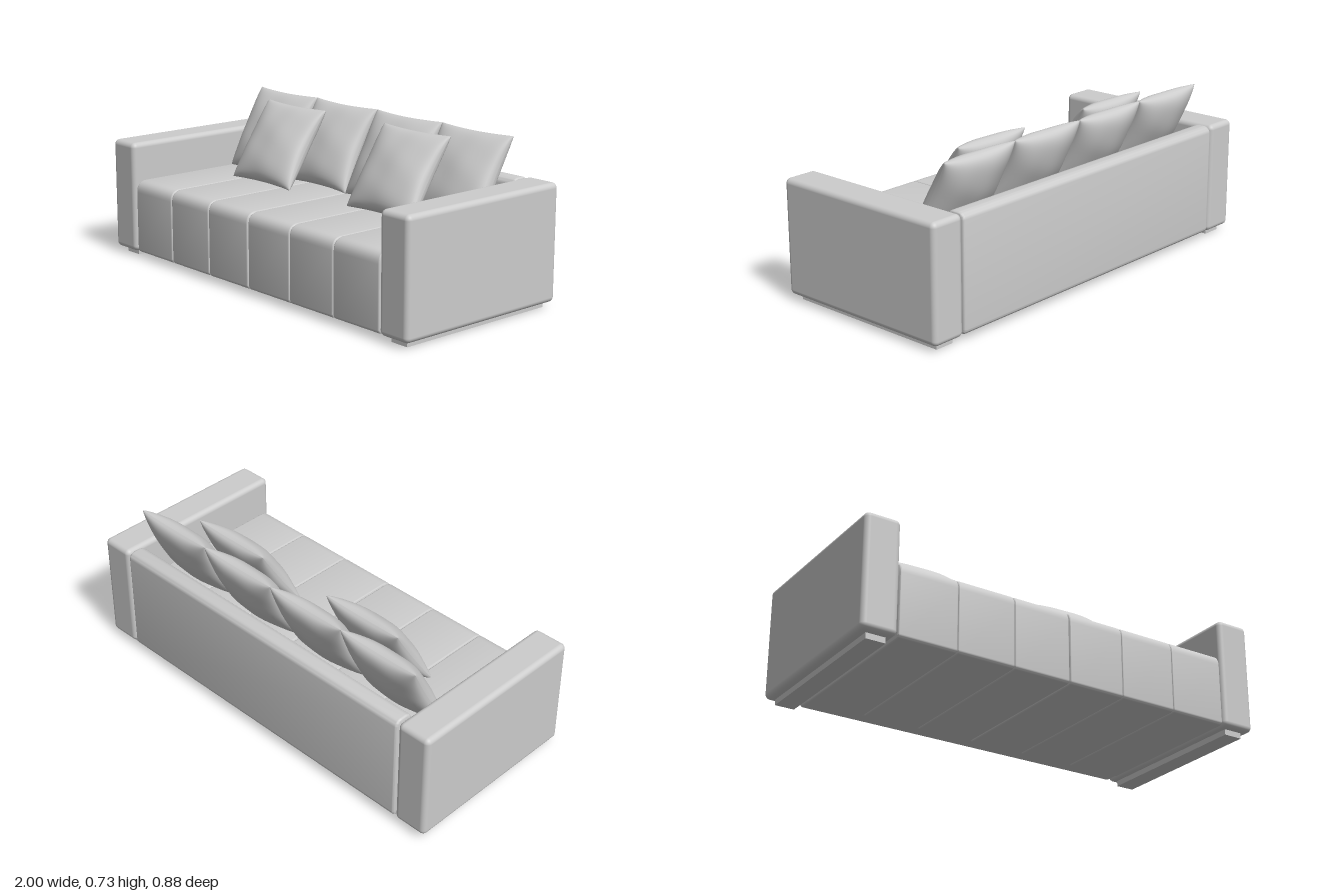
import * as THREE from 'three';
import { RoundedBoxGeometry } from 'three/addons/geometries/RoundedBoxGeometry.js';
import { mergeGeometries, toCreasedNormals } from 'three/addons/utils/BufferGeometryUtils.js';

export function createModel() {
  const sofa = new THREE.Group();
  sofa.name = 'sofa';
  const fabric = new THREE.MeshStandardMaterial({ color: 0xcccccc });
  fabric.name = 'light grey fabric';

  const add = (name, geometry, x, y, z) => {
    const mesh = new THREE.Mesh(geometry, fabric);
    mesh.name = name;
    mesh.position.set(x, y, z);
    sofa.add(mesh);
    return mesh;
  };

  // Rounded side profile in (z, y), extruded along x with a small bevel
  function upholstered(width, z0, z1, y0, y1, rFront, rBack, bevel) {
    const b = bevel, s = new THREE.Shape();
    const [l, r, d, t] = [z0 + b, z1 - b, y0 + b, y1 - b];
    const low = 0.012;
    s.moveTo(l + low, d);
    s.lineTo(r - low, d);
    s.quadraticCurveTo(r, d, r, d + low);
    s.lineTo(r, t - rFront);
    s.quadraticCurveTo(r, t, r - rFront, t);
    s.lineTo(l + rBack, t);
    s.quadraticCurveTo(l, t, l, t - rBack);
    s.lineTo(l, d + low);
    s.quadraticCurveTo(l, d, l + low, d);
    const g = new THREE.ExtrudeGeometry(s, {
      depth: width - 2 * b, bevelThickness: b, bevelSize: b, bevelSegments: 4, curveSegments: 8,
    });
    g.translate(0, 0, -(width - 2 * b) / 2).rotateY(-Math.PI / 2);
    return toCreasedNormals(g, 0.7);
  }

  // Plump square pillow: two mirrored domes with drawn-in edges and soft creases
  function pillowGeometry(size, thickness) {
    const half = new THREE.PlaneGeometry(2, 2, 28, 28);
    const p = half.attributes.position;
    for (let i = 0; i < p.count; i++) {
      const u = Math.sin(p.getX(i) * Math.PI / 2);
      const v = Math.sin(p.getY(i) * Math.PI / 2);
      const dome = Math.pow(Math.max(0, (1 - u * u) * (1 - v * v)), 0.42);
      const crease = 1 + 0.035 * Math.sin(5 * u + 3 * v) * Math.cos(4 * v - 2 * u);
      p.setXYZ(i,
        u * size / 2 * (1 - 0.07 * (1 - v * v)),
        v * size / 2 * (1 - 0.05 * (1 - u * u)),
        thickness / 2 * dome * crease);
    }
    half.computeVertexNormals();
    return mergeGeometries([half, half.clone().rotateY(Math.PI)]);
  }

  // Arms standing on long plinth feet
  for (const side of [-1, 1]) {
    const label = side > 0 ? 'left' : 'right';
    add(label + 'Arm', new RoundedBoxGeometry(0.164, 0.522, 0.88, 5, 0.024), side * 0.918, 0.287, 0);
    add(label + 'Foot', new THREE.BoxGeometry(0.09, 0.04, 0.805), side * 0.915, 0.02, -0.003);
  }

  // Backrest
  add('backrest', upholstered(1.662, -0.44, -0.345, 0.028, 0.547, 0.025, 0.025, 0.012), 0, 0, 0);

  // Two seats, each of three stitched panels
  const panel = upholstered(0.2765, -0.37, 0.432, 0.026, 0.371, 0.045, 0.02, 0.009);
  for (const side of [-1, 1]) {
    for (let i = 0; i < 3; i++) {
      add('seatPanel', panel, side * (0.14 + i * 0.2765), 0, 0);
    }
  }

  // Four back pillows leaning on the backrest, two scatter pillows in front
  const backPillow = pillowGeometry(0.415, 0.15);
  for (const x of [-0.624, -0.208, 0.208, 0.624]) {
    add('backPillow', backPillow, x, 0.551, -0.238).rotation.x = -0.5;
  }
  const scatterPillow = pillowGeometry(0.41, 0.145);
  for (const x of [-0.4, 0.4]) {
    add('scatterPillow', scatterPillow, x, 0.545, -0.083).rotation.x = -0.58;
  }

  return sofa;
}
